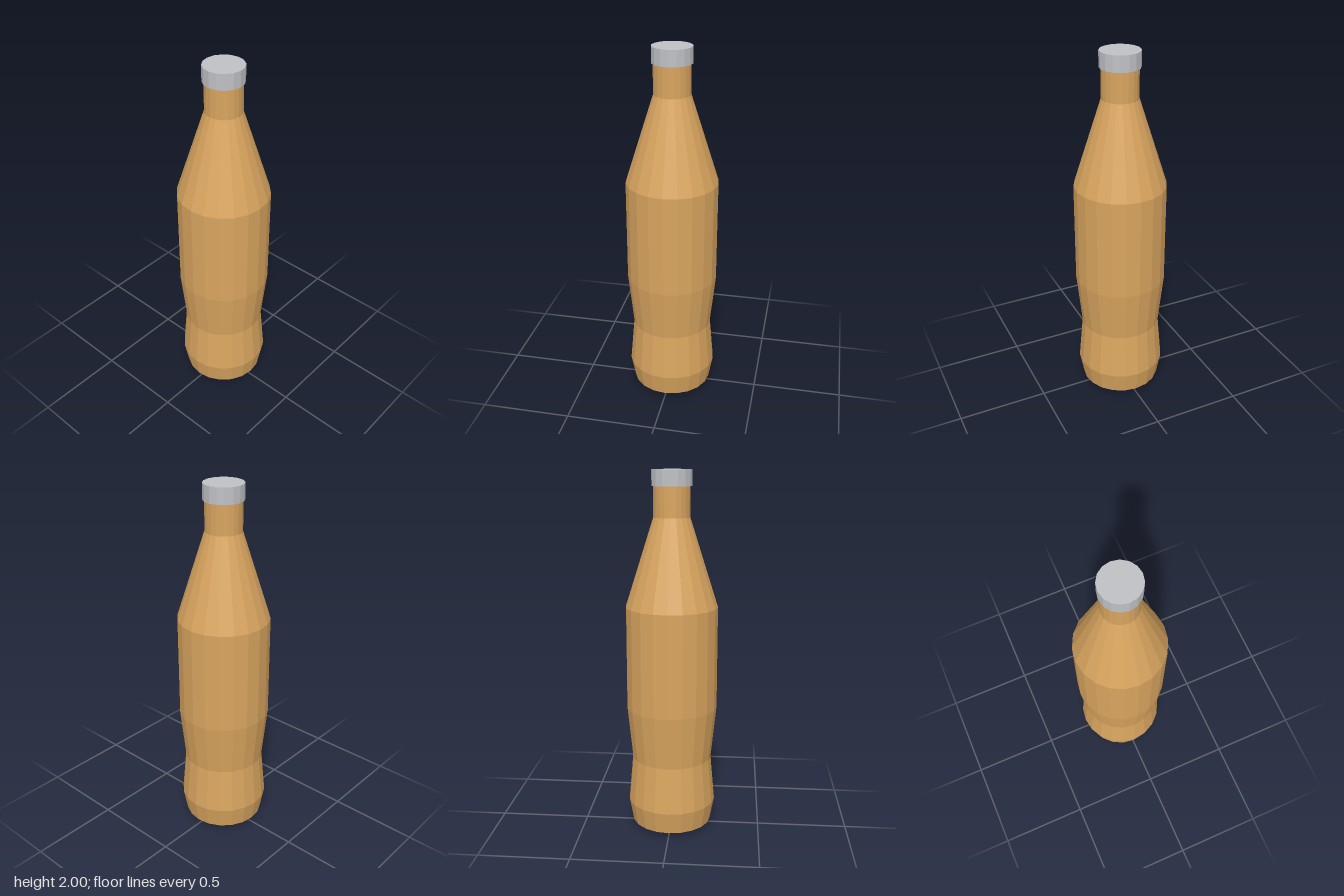
import * as THREE from 'three';

export function createModel() {
  const model = new THREE.Group();
  model.name = 'bottle';

  const amber = new THREE.MeshStandardMaterial({ color: 0xd9a55f, flatShading: true });
  amber.name = 'amber';
  const silver = new THREE.MeshStandardMaterial({ color: 0xbfc1c5, flatShading: true });
  silver.name = 'silver';

  // Bottle body: base point, waisted lower half, straight label band, shoulder and neck
  const profile = [
    [0, 0], [0.222, 0.028], [0.245, 0.152], [0.222, 0.41],
    [0.252, 0.705], [0.252, 1.272], [0.099, 1.752], [0.099, 1.93],
  ].map(([r, y]) => new THREE.Vector2(r, y));
  const body = new THREE.Mesh(new THREE.LatheGeometry(profile, 20), amber);
  body.name = 'bottleBody';
  model.add(body);

  // Closed cap sitting over the neck
  const cap = new THREE.Mesh(new THREE.CylinderGeometry(0.108, 0.108, 0.086, 16), silver);
  cap.name = 'cap';
  cap.position.y = 2 - 0.043;
  model.add(cap);

  return model;
}
